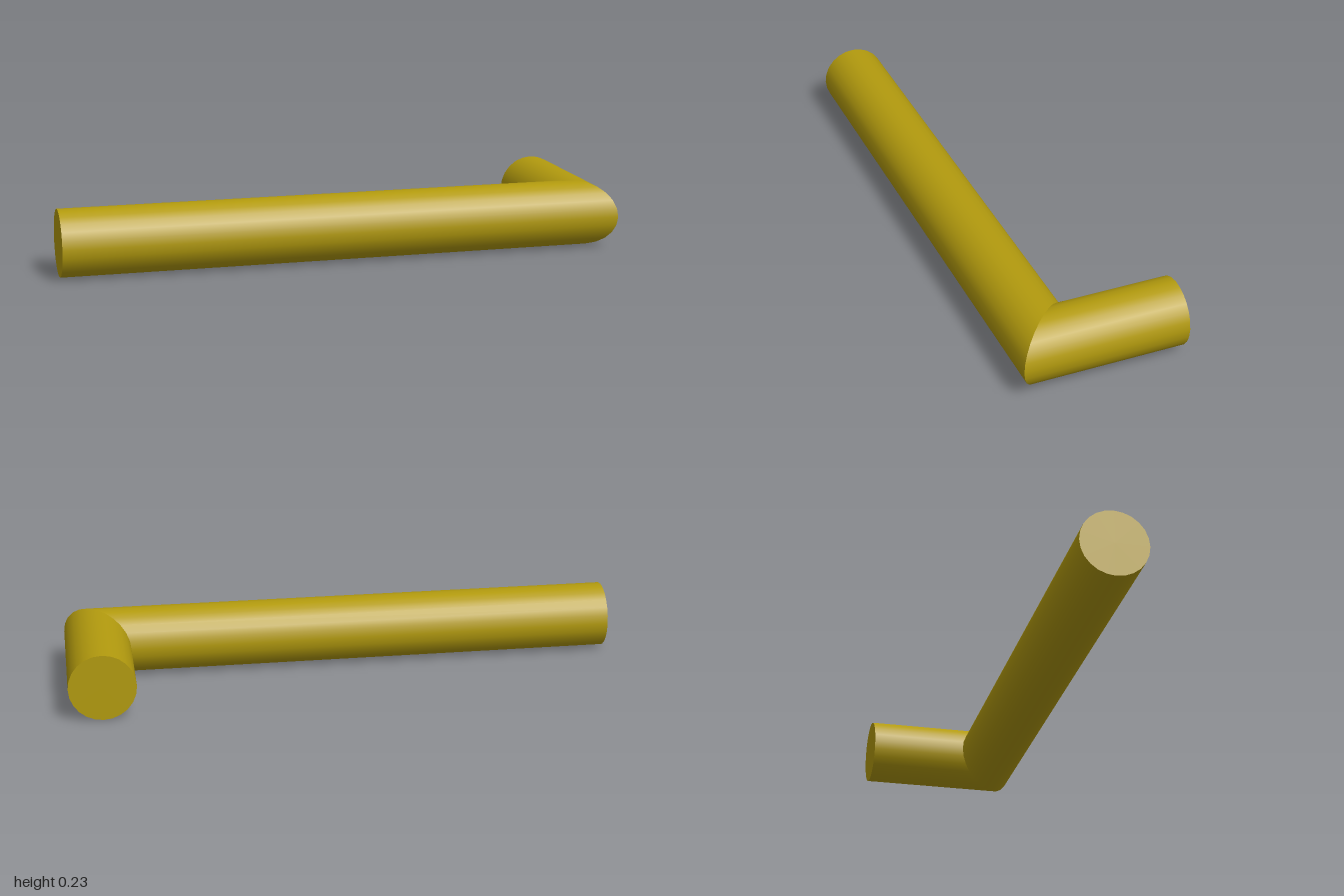
import * as THREE from 'three';
import { mergeGeometries } from 'three/addons/utils/BufferGeometryUtils.js';

const R = 0.1175;        // bar radius
const SIDES = 24;
const HALF_DEPTH = 0.294;
const CORNER = new THREE.Vector3(1 - R, R, HALF_DEPTH - R); // where the two axes meet

// Round bar along the given axis: flat cap at `end`, 45 degree mitre at the corner.
function mitredArm(axis, end) {
  const across = axis === 'x' ? 'z' : 'x';
  const tube = new THREE.CylinderGeometry(R, R, 1, SIDES, 1, true);
  const cap = new THREE.CircleGeometry(R, SIDES);
  if (axis === 'x') {
    tube.rotateZ(-Math.PI / 2);
    cap.rotateY(-Math.PI / 2);
  } else {
    tube.rotateX(Math.PI / 2);
    cap.rotateY(Math.PI);
  }

  // Slide each ring along the axis: the far ring to the mitre plane, the near one to the end
  const pos = tube.attributes.position;
  const p = new THREE.Vector3();
  for (let i = 0; i < pos.count; i++) {
    p.fromBufferAttribute(pos, i);
    p[axis] = p[axis] > 0 ? p[across] : end - CORNER[axis];
    pos.setXYZ(i, p.x, p.y, p.z);
  }
  const offset = new THREE.Vector3();
  offset[axis] = end - CORNER[axis];
  cap.translate(offset.x, offset.y, offset.z);

  return mergeGeometries([tube, cap]).translate(CORNER.x, CORNER.y, CORNER.z);
}

export function createModel() {
  const group = new THREE.Group();
  group.name = 'bentBar';
  const material = new THREE.MeshStandardMaterial({ color: 0xb39b0e });

  const longArm = new THREE.Mesh(mitredArm('x', -1), material);
  longArm.name = 'longArm';
  const shortArm = new THREE.Mesh(mitredArm('z', -HALF_DEPTH), material);
  shortArm.name = 'shortArm';

  group.add(longArm, shortArm);
  return group;
}
